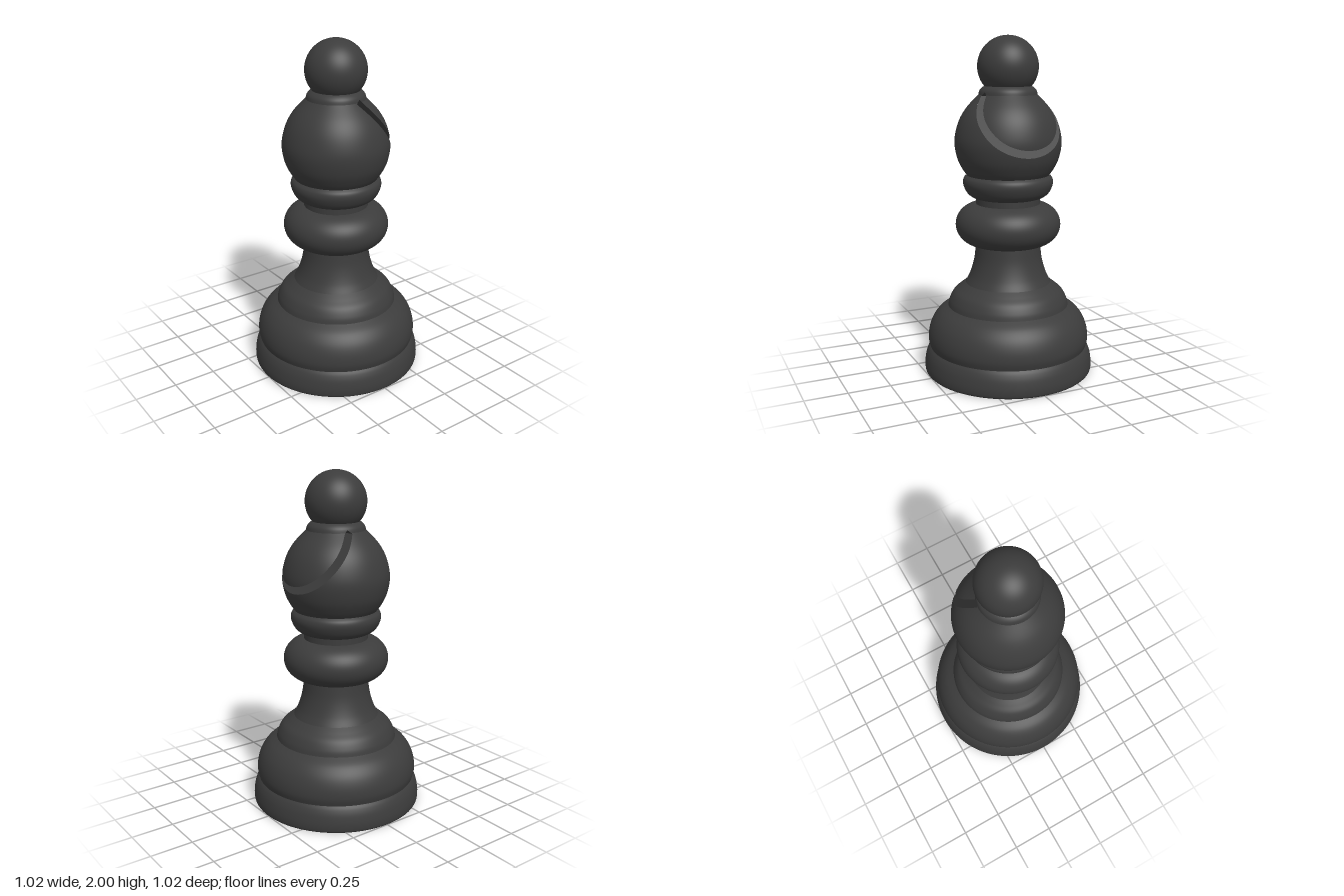
import * as THREE from 'three';

const ebony = new THREE.MeshStandardMaterial({ color: 0x3c3c3c });
ebony.name = 'ebony';

const SEGMENTS = 96;

// Smooth profile through a few [radius, height] points
function profile(points, steps = 24) {
  return new THREE.SplineCurve(points.map(([r, y]) => new THREE.Vector2(r, y))).getPoints(steps);
}

// Elliptical bulge profile between two angles (degrees from the horizontal)
function arc(cx, cy, rx, ry, from, to, steps = 28) {
  return Array.from({ length: steps + 1 }, (_, i) => {
    const a = THREE.MathUtils.degToRad(from + ((to - from) * i) / steps);
    return new THREE.Vector2(Math.max(0, cx + rx * Math.cos(a)), cy + ry * Math.sin(a));
  });
}

function named(name, geometry) {
  const mesh = new THREE.Mesh(geometry, ebony);
  mesh.name = name;
  return mesh;
}
const turned = (name, points) => named(name, new THREE.LatheGeometry(points, SEGMENTS));

// Slanted slot: N is across the slot, D runs outward along it
const N = new THREE.Vector3(0.755, 0.656, 0).normalize();
const D = new THREE.Vector3(N.y, -N.x, 0);
const LOW = 1.1, HIGH = 1.134, FLOOR = -1.24;
const slotPoint = (n, s, z) => new THREE.Vector3(N.x * n + D.x * s, N.y * n + D.y * s, z);

// Keep the part of a polygon where dir . p <= limit
function clip(poly, dir, limit) {
  const out = [];
  poly.forEach((a, i) => {
    const b = poly[(i + 1) % poly.length];
    const da = dir.dot(a.p) - limit, db = dir.dot(b.p) - limit;
    if (da <= 0) out.push(a);
    if ((da < 0 && db > 0) || (da > 0 && db < 0)) {
      const t = da / (da - db);
      out.push({ p: a.p.clone().lerp(b.p, t), n: a.n.clone().lerp(b.n, t).normalize() });
    }
  });
  return out;
}

function meshData() {
  const pos = [], nor = [];
  return {
    // Fan of triangles over a convex polygon
    add(poly) {
      for (let i = 1; i < poly.length - 1; i++)
        for (const v of [poly[0], poly[i], poly[i + 1]]) {
          pos.push(v.p.x, v.p.y, v.p.z);
          nor.push(v.n.x, v.n.y, v.n.z);
        }
    },
    build() {
      const g = new THREE.BufferGeometry();
      g.setAttribute('position', new THREE.Float32BufferAttribute(pos, 3));
      g.setAttribute('normal', new THREE.Float32BufferAttribute(nor, 3));
      return g;
    },
  };
}

// Turned outer surface with the slot taken away
function slottedSurface(points) {
  const g = new THREE.LatheGeometry(points, SEGMENTS).toNonIndexed();
  const { position, normal } = g.attributes;
  const data = meshData();
  const back = N.clone().negate();
  for (let i = 0; i < position.count; i += 3) {
    const tri = [0, 1, 2].map((k) => ({
      p: new THREE.Vector3().fromBufferAttribute(position, i + k),
      n: new THREE.Vector3().fromBufferAttribute(normal, i + k),
    }));
    data.add(clip(tri, N, LOW));
    data.add(clip(tri, back, -HIGH));
    data.add(clip(clip(clip(tri, back, -LOW), N, HIGH), D, FLOOR));
  }
  return data.build();
}

// Flat faces inside the slot
function slotFaces(points) {
  const radius = (y) => {
    const i = Math.max(1, points.findIndex((p) => p.y >= y));
    const a = points[i - 1], b = points[i];
    return a.x + ((b.x - a.x) * (y - a.y)) / (b.y - a.y);
  };
  const room = (n, s) => {
    const p = slotPoint(n, s, 0);
    return radius(p.y) ** 2 - p.x ** 2;
  };
  const half = (n, s) => Math.sqrt(Math.max(0, room(n, s)));
  const data = meshData();
  const face = (corners, n) => data.add(corners.map((p) => ({ p, n })));

  for (const [n, sign] of [[LOW, 1], [HIGH, -1]]) {
    let inside = FLOOR, outside = FLOOR + 0.55;
    for (let i = 0; i < 30; i++) {
      const mid = (inside + outside) / 2;
      if (room(n, mid) > 0) inside = mid;
      else outside = mid;
    }
    const rows = 40;
    // Rows bunch up toward the rounded outer end
    const at = (i) => FLOOR + (inside - FLOOR) * Math.sin(((i / rows) * Math.PI) / 2);
    for (let i = 0; i < rows; i++) {
      const s = at(i), t = at(i + 1), a = half(n, s), b = half(n, t);
      const quad = [slotPoint(n, s, -a), slotPoint(n, s, a), slotPoint(n, t, b), slotPoint(n, t, -b)];
      face(sign > 0 ? quad : quad.reverse(), N.clone().multiplyScalar(sign));
    }
  }
  const a = half(LOW, FLOOR), b = half(HIGH, FLOOR);
  face([slotPoint(LOW, FLOOR, -a), slotPoint(HIGH, FLOOR, -b),
    slotPoint(HIGH, FLOOR, b), slotPoint(LOW, FLOOR, a)], D);
  return data.build();
}

export function createModel() {
  const model = new THREE.Group();
  model.name = 'chessBishop';

  // Foot
  const underside = named('underside', new THREE.CircleGeometry(0.497, SEGMENTS));
  underside.rotation.x = Math.PI / 2;
  model.add(underside);
  model.add(turned('footRing', profile([[0.497, 0], [0.506, 0.012], [0.508, 0.05], [0.5, 0.1], [0.487, 0.135], [0.474, 0.155]])));
  model.add(turned('baseDome', profile([[0.474, 0.155], [0.484, 0.2], [0.478, 0.26], [0.455, 0.32], [0.415, 0.37], [0.362, 0.405]])));

  // Flared stem
  model.add(turned('stemShoulder', profile([[0.362, 0.405], [0.353, 0.44], [0.328, 0.485], [0.29, 0.518], [0.255, 0.545]])));
  model.add(turned('stem', profile([[0.255, 0.545], [0.232, 0.59], [0.213, 0.645], [0.2, 0.705], [0.193, 0.78]])));

  // Rings under the head
  model.add(turned('neckDisc', arc(0.18, 0.899, 0.132, 0.124, -90, 90)));
  model.add(turned('neck', profile([[0.19, 1.0], [0.19, 1.03], [0.19, 1.08]], 4)));
  model.add(turned('collar', profile([[0.18, 1.055], [0.215, 1.067], [0.245, 1.093], [0.265, 1.14], [0.262, 1.175], [0.243, 1.195]])));

  // Slotted head
  const headProfile = profile([[0.243, 1.195], [0.268, 1.23], [0.297, 1.29], [0.313, 1.37], [0.308, 1.44],
    [0.283, 1.52], [0.24, 1.59], [0.172, 1.662]], 40);
  const capProfile = profile([[0.172, 1.662], [0.166, 1.685], [0.15, 1.703], [0.128, 1.716]], 12);
  const head = new THREE.Group();
  head.name = 'head';
  head.add(named('headShell', slottedSurface(headProfile)));
  head.add(named('headCollar', slottedSurface(capProfile)));
  head.add(named('slot', slotFaces([...headProfile, ...capProfile.slice(1)])));
  model.add(head);

  // Ball on top
  model.add(turned('finial', arc(0, 1.823, 0.178, 0.177, -48, 90, 36)));
  return model;
}
